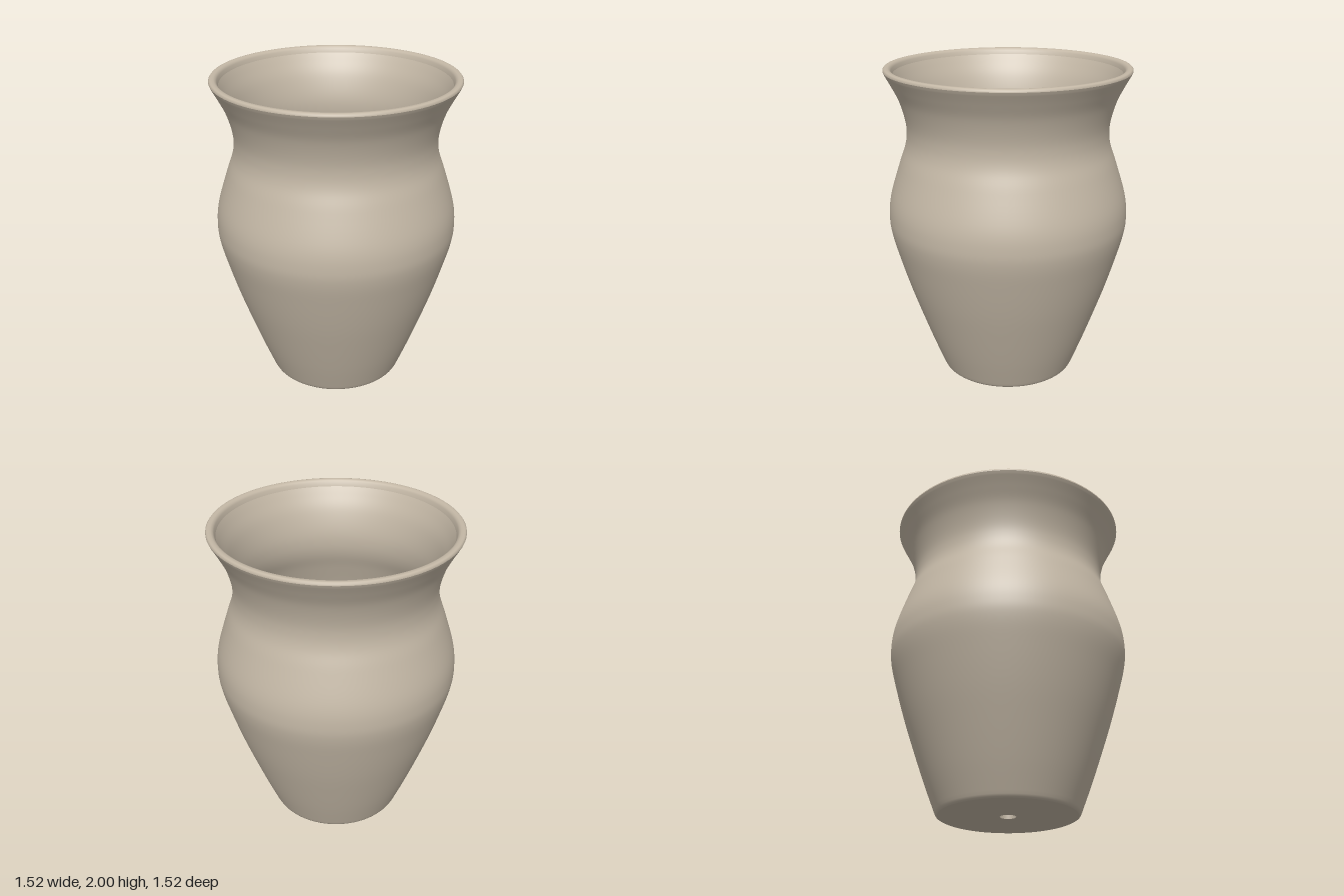
import * as THREE from 'three';

const SEGMENTS = 96;
const WALL = 0.04;
const FLOOR_Y = 0.06;
const FLOOR_R = 0.415;
const FOOT_R = 0.425;
const HOLE_R = 0.05;

const v = (x, y) => new THREE.Vector2(x, y);

export function createModel() {
  const group = new THREE.Group();
  group.name = 'vase';

  const clay = new THREE.MeshStandardMaterial({ color: 0xc4b8a6 });
  clay.name = 'beige clay';

  const addLathe = (name, points) => {
    const mesh = new THREE.Mesh(new THREE.LatheGeometry(points, SEGMENTS), clay);
    mesh.name = name;
    group.add(mesh);
  };

  // Outer silhouette, from just above the foot to just below the rim
  const outline = new THREE.SplineCurve([
    v(0.443, 0.02), v(0.512, 0.2), v(0.583, 0.4), v(0.65, 0.6), v(0.709, 0.8),
    v(0.75, 0.96), v(0.76, 1.07), v(0.744, 1.2), v(0.682, 1.4), v(0.641, 1.52),
    v(0.63, 1.61), v(0.64, 1.7), v(0.672, 1.81), v(0.715, 1.9), v(0.752, 1.968),
  ]);
  const outer = outline.getPoints(84);

  // Inner wall: the outline moved inwards by the wall thickness
  const inner = outer.map((p, i) => {
    const t = outline.getTangent(i / 84);
    return v(p.x - t.y * WALL, p.y + t.x * WALL);
  }).filter((p) => p.y > FLOOR_Y + 0.02 && p.y < 1.965).reverse();

  // Outside, rounded rim and inside
  addLathe('outerWall', [v(FOOT_R, 0), v(0.436, 0.006), ...outer, v(0.758, 1.982)]);
  addLathe('rim', [
    v(0.758, 1.982), v(0.757, 1.991), v(0.751, 1.998), v(0.742, 2),
    v(0.727, 1.999), v(0.716, 1.993), v(0.708, 1.982), inner[0],
  ]);
  addLathe('innerWall', [...inner, v(FLOOR_R, FLOOR_Y + 0.005), v(FLOOR_R - 0.007, FLOOR_Y)]);

  // Base with a drain hole
  addLathe('floor', [v(FLOOR_R - 0.007, FLOOR_Y), v(HOLE_R, FLOOR_Y)]);
  addLathe('drainHole', [v(HOLE_R, FLOOR_Y), v(HOLE_R, 0)]);
  addLathe('underside', [v(HOLE_R, 0), v(FOOT_R, 0)]);

  return group;
}
